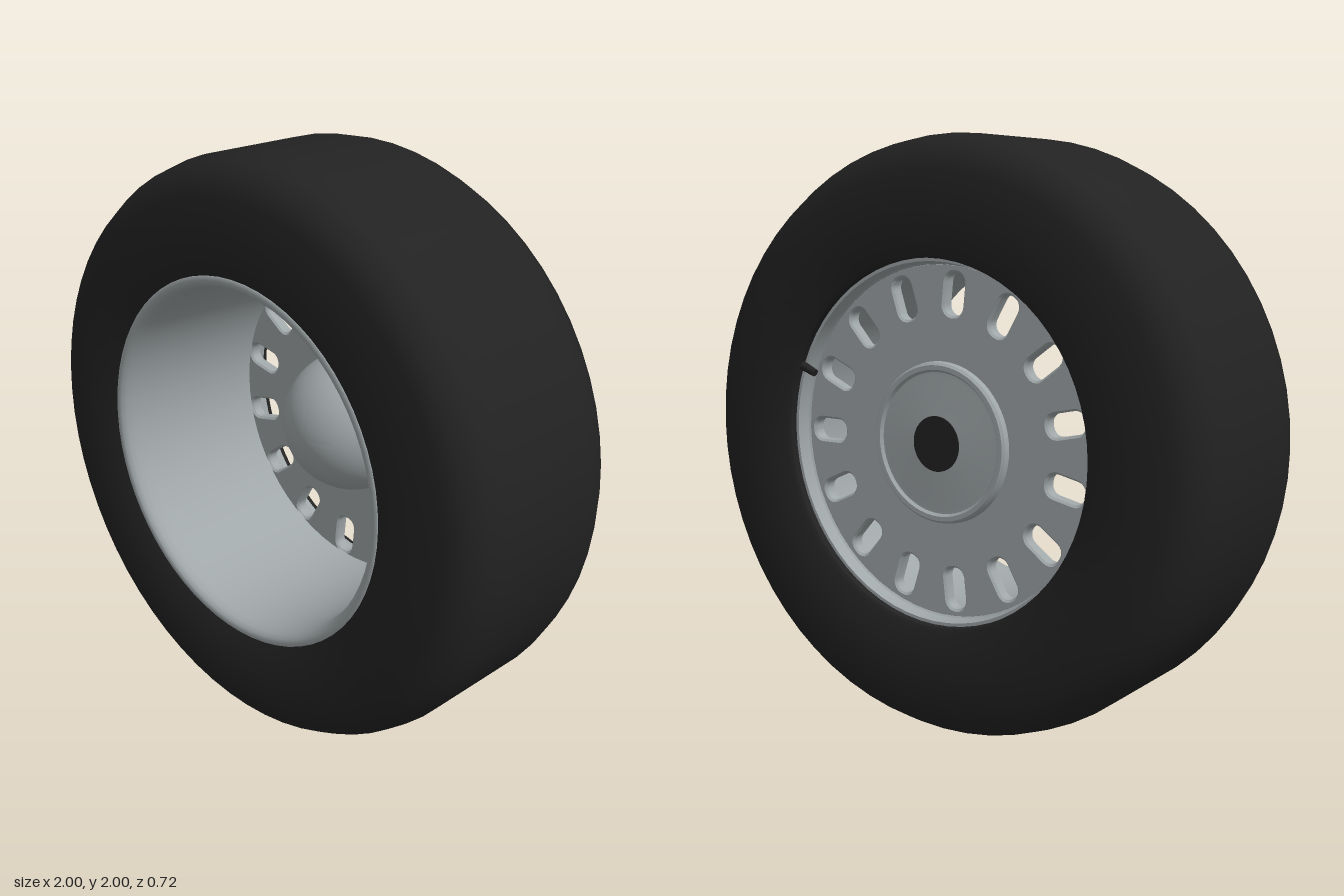
import * as THREE from 'three';
import { toCreasedNormals } from 'three/addons/utils/BufferGeometryUtils.js';

const SEGMENTS = 64;
const SLOTS = 15;

// Revolves [radius, z] points about the z axis
function revolve(points, crease = 0.6) {
  const geo = new THREE.LatheGeometry(points.map(([r, z]) => new THREE.Vector2(r, z)), SEGMENTS);
  geo.rotateX(Math.PI / 2);
  return toCreasedNormals(geo, crease);
}

// Rounded radial slot outline at a given angle
function slotPath(angle, inner, outer, half) {
  const radius = half * 0.9, pts = [];
  const corners = [
    [outer - radius, half - radius, 0], [inner + radius, half - radius, 1],
    [inner + radius, radius - half, 2], [outer - radius, radius - half, 3],
  ];
  for (const [cx, cy, quarter] of corners) {
    for (let i = 0; i <= 5; i++) {
      const t = (quarter + i / 5) * Math.PI / 2;
      pts.push(new THREE.Vector2(cx + radius * Math.cos(t), cy + radius * Math.sin(t))
        .rotateAround(new THREE.Vector2(), angle));
    }
  }
  return new THREE.Path(pts.reverse());
}

export function createModel() {
  const rubber = new THREE.MeshStandardMaterial({ name: 'black rubber', color: 0x222222 });
  const metal = new THREE.MeshStandardMaterial({ name: 'grey metal', color: 0xa0a7a9 });

  const wheel = new THREE.Group();
  wheel.name = 'wheel';
  wheel.position.y = 1;
  const add = (name, geo, mat) => {
    const mesh = new THREE.Mesh(geo, mat);
    mesh.name = name;
    wheel.add(mesh);
    return mesh;
  };

  // Tyre with flat sidewalls and rounded shoulders
  add('tyre', revolve([
    [0.605, -0.345], [0.62, -0.355], [0.88, -0.355], [0.95, -0.33], [0.985, -0.27], [1, -0.2],
    [1, 0.2], [0.985, 0.27], [0.95, 0.33], [0.88, 0.355], [0.62, 0.355],
    [0.605, 0.34], [0.605, -0.345],
  ], 0.9), rubber);

  // Rim barrel with a rolled front lip
  add('rimBarrel', revolve([
    [0.606, -0.32], [0.606, 0.3], [0.64, 0.33], [0.64, 0.348], [0.632, 0.357], [0.62, 0.36],
    [0.608, 0.356], [0.597, 0.343], [0.59, 0.32], [0.585, 0.28], [0.565, -0.215],
    [0.565, -0.25], [0.588, -0.275], [0.594, -0.32], [0.606, -0.32],
  ]), metal);

  // Wheel disc pierced by a ring of slots
  const shape = new THREE.Shape().absarc(0, 0, 0.582, 0, Math.PI * 2);
  for (let i = 0; i < SLOTS; i++) {
    shape.holes.push(slotPath(i * Math.PI * 2 / SLOTS, 0.412, 0.568, 0.045));
  }
  const disc = new THREE.ExtrudeGeometry(shape, {
    depth: 0.036, curveSegments: SEGMENTS / 2,
    bevelEnabled: true, bevelThickness: 0.007, bevelSize: 0.007, bevelSegments: 1,
  });
  disc.translate(0, 0, -0.263);
  add('wheelDisc', toCreasedNormals(disc, 0.5), metal);

  // Domed hub on the front
  const dome = [[0.25, -0.23]];
  for (let i = 0; i <= 16; i++) {
    const t = i / 16 * Math.PI / 2;
    dome.push([Math.max(0, 0.25 * Math.cos(t)), -0.205 + 0.25 * Math.sin(t)]);
  }
  add('hubDome', revolve(dome), metal);

  // Raised hub plate and axle bore on the back
  add('hubPlate', revolve([
    [0, -0.298], [0.1, -0.298], [0.225, -0.286], [0.235, -0.286], [0.243, -0.296],
    [0.258, -0.296], [0.266, -0.288], [0.27, -0.265],
  ], 0.3), metal);
  add('axleBore', revolve([[0, -0.302], [0.092, -0.302], [0.092, -0.295]]), rubber);

  // Inflation valve beside the back edge of the rim
  const valve = add('valve', new THREE.CylinderGeometry(0.017, 0.013, 0.08, 12), rubber);
  const angle = 0.38;
  valve.position.set(0.585 * Math.cos(angle), 0.585 * Math.sin(angle), -0.325);
  valve.rotation.z = angle - Math.PI / 2;

  const model = new THREE.Group();
  model.name = 'wheelModel';
  model.add(wheel);
  return model;
}
